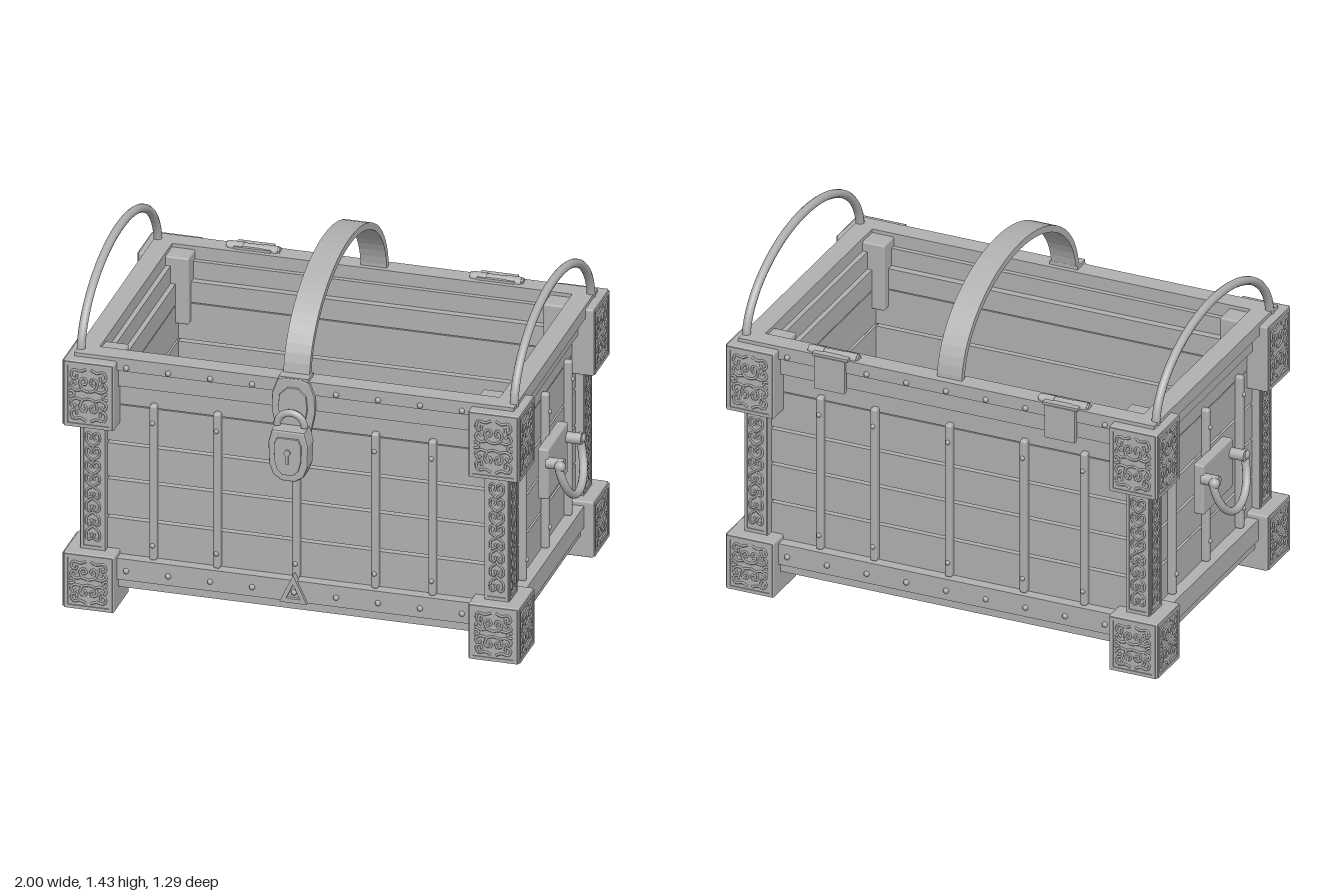
import * as THREE from 'three';
import { mergeGeometries } from 'three/addons/utils/BufferGeometryUtils.js';
import { RoundedBoxGeometry } from 'three/addons/geometries/RoundedBoxGeometry.js';

const grey = new THREE.MeshStandardMaterial({ color: 0xb0b0b0 });
grey.name = 'plain grey';

function add(parent, name, geo, x = 0, y = 0, z = 0) {
  const m = new THREE.Mesh(geo, grey);
  m.name = name;
  m.position.set(x, y, z);
  parent.add(m);
  return m;
}
const box = (w, h, d) => new THREE.BoxGeometry(w, h, d);
const v = (x, y, z = 0) => new THREE.Vector3(x, y, z);
const curve = (pts) => new THREE.CatmullRomCurve3(pts);

// Rectangular ring lying flat between heights y0 and y1
function ring(ox, oz, ix, iz, y0, y1) {
  const rect = (C, a, b) => {
    const s = new C();
    s.moveTo(-a, -b); s.lineTo(a, -b); s.lineTo(a, b); s.lineTo(-a, b); s.closePath();
    return s;
  };
  const s = rect(THREE.Shape, ox, oz);
  s.holes.push(rect(THREE.Path, ix, iz));
  return new THREE.ExtrudeGeometry(s, { depth: y1 - y0, bevelEnabled: false }).rotateX(-Math.PI / 2).translate(0, y0, 0);
}

// Raised border of four bars, facing +z
function border(w, h, t, d) {
  const parts = [];
  for (const s of [-1, 1]) {
    parts.push(box(w, t, d).translate(0, s * (h - t) / 2, 0));
    parts.push(box(t, h - 2 * t, d).translate(s * (w - t) / 2, 0, 0));
  }
  return mergeGeometries(parts);
}

// Scrollwork: strokes in one quadrant of a unit panel, mirrored to all four
const BLOCK_SCROLLS = [
  [[0, .12], [.3, .2], [.42, .5], [.2, .62], [.1, .42], [.25, .38]],
  [[.12, .95], [.4, .85], [.75, .9], [.85, .65], [.62, .55], [.58, .74]],
  [[.3, .2], [.65, .15], [.88, .3], [.75, .48], [.6, .35]],
  [[.95, .1], [.8, .1], [.7, 0]],
];
const POST_SCROLLS = [
  [[0, 0], [.8, .08], [.7, .2], [.1, .16], [.3, .1]],
  [[0, .2], [.8, .3], [.7, .42], [.1, .38], [.3, .32]],
  [[0, .44], [.8, .54], [.7, .66], [.1, .62], [.3, .56]],
  [[0, .68], [.8, .78], [.7, .92], [.1, .88], [.3, .8]],
];
function scrollwork(w, h, strokes, r) {
  const parts = [];
  for (const sx of [-1, 1]) for (const sy of [-1, 1]) for (const st of strokes) {
    const path = curve(st.map(([x, y]) => v(sx * x * w, sy * y * h)));
    parts.push(new THREE.TubeGeometry(path, 14, r, 4));
  }
  return mergeGeometries(parts);
}

// Rivets along a wall: pts are [across, y]
function rivets(parent, pts, dist, turn, r = 0.012) {
  const geo = mergeGeometries(pts.map(([x, y]) =>
    new THREE.SphereGeometry(r, 8, 6).translate(x, y, dist)));
  add(parent, 'rivets', geo).rotation.y = turn;
}

function archTube(rz, ry, y0, r) {
  const pts = [];
  for (let i = 0; i <= 24; i++) {
    const t = Math.PI * i / 24;
    pts.push(v(0, y0 + ry * Math.sin(t), rz * Math.cos(t)));
  }
  return new THREE.TubeGeometry(curve(pts), 48, r, 10);
}

function buildLock(chest) {
  const lock = new THREE.Group();
  lock.name = 'lock';
  lock.position.z = 0.565;
  chest.add(lock);
  const plate = (pts, depth, bevel) => new THREE.ExtrudeGeometry(
    new THREE.Shape(pts.map(([x, y]) => new THREE.Vector2(x, y))),
    { depth, bevelEnabled: bevel > 0, bevelSize: bevel, bevelThickness: bevel, bevelSegments: 2 });
  const sym = (half) => [...half, ...half.map(([x, y]) => [-x, y]).reverse()];
  const hasp = sym([[.065, .87], [.082, .95], [.08, 1.02], [.06, 1.075], [.03, 1.085]]);
  add(lock, 'haspPlate', plate(hasp, 0.012, 0.006), 0, 0, 0);
  add(lock, 'haspTop', box(.12, .018, .07), 0, 1.086, -0.02);
  add(lock, 'haspPanel', plate(sym([[.045, .9], [.055, .97], [.05, 1.02], [.02, 1.05]]), 0.01, 0.004), 0, 0, 0.014);
  const body = sym([[.025, .69], [.055, .71], [.07, .75], [.073, .84], [.06, .89]]);
  add(lock, 'padlockBody', plate(body, 0.065, 0.008), 0, 0, 0.015);
  const face = sym([[.02, .715], [.04, .735], [.05, .77], [.052, .84], [.04, .865]]);
  add(lock, 'padlockFace', plate(face, 0.008, 0.003), 0, 0, 0.086);
  add(lock, 'shackle', new THREE.TorusGeometry(.055, .015, 8, 20, Math.PI), 0, .905, .05);
  const disc = new THREE.CylinderGeometry(.013, .013, .012, 12).rotateX(Math.PI / 2);
  add(lock, 'keyholeTop', disc, 0, .81, .098);
  add(lock, 'keyholeSlot', box(.011, .045, .01), 0, .785, .098);
}

export function createModel() {
  const model = new THREE.Group();
  model.name = 'chest';
  const chest = new THREE.Group();
  chest.name = 'chestBody';
  chest.position.z = -0.025;
  model.add(chest);

  // Floor, rims and plank courses with open gaps between them
  add(chest, 'floor', box(1.74, .04, 1.1), 0, .11, 0);
  add(chest, 'lowerRim', ring(.885, .57, .77, .44, .13, .22));
  add(chest, 'upperRim', ring(.89, .57, .81, .49, 1.025, 1.08));
  add(chest, 'upperRail', ring(.86, .55, .79, .47, .95, 1.025));
  for (const [a, b] of [[.22, .37], [.382, .534], [.546, .689], [.701, .858], [.862, .95]])
    add(chest, 'plankCourse', ring(.835, .525, .77, .44, a, b));

  // Corner blocks and posts with framed scrollwork on the outer faces
  const scrollTall = scrollwork(.082, .117, BLOCK_SCROLLS, .0055);
  const scrollLow = scrollwork(.082, .094, BLOCK_SCROLLS, .0055);
  const scrollPost = scrollwork(.032, .25, POST_SCROLLS, .005);
  for (const sx of [-1, 1]) for (const sz of [-1, 1]) {
    const corner = new THREE.Group();
    corner.name = 'corner';
    chest.add(corner);
    const faces = (cx, cy, cz, hx, hz, w, h, t, scroll) => {
      const fz = sz > 0 ? 0 : Math.PI;
      const f = sz * (cz + hz), s = sx * (cx + hx);
      const frame = border(w, h, t, .008);
      for (const [name, geo] of [['frame', frame], ['scrollwork', scroll]]) {
        add(corner, name, geo, sx * cx, cy, f).rotation.y = fz;
        add(corner, name, geo, s, cy, sz * cz).rotation.y = sx * Math.PI / 2;
      }
    };
    for (const [name, y0, y1, scroll] of [['upperCorner', .78, 1.065, scrollTall], ['lowerCorner', 0, .24, scrollLow]]) {
      const h = y1 - y0, cy = (y0 + y1) / 2;
      add(corner, name, new RoundedBoxGeometry(.205, h, .21, 2, .008), sx * .82, cy, sz * .508);
      faces(.82, cy, .508, .1025, .105, .195, h - .01, .014, scroll);
    }
    add(corner, 'cornerPost', box(.1, .56, .11), sx * .818, .51, sz * .505);
    faces(.818, .51, .505, .05, .055, .095, .53, .011, scrollPost);
  }

  // Vertical straps with rivets
  for (const sz of [1, -1]) {
    const turn = sz > 0 ? 0 : Math.PI;
    const xs = [-.578, -.32, 0, .32, .552];
    for (const x of xs)
      add(chest, 'strap', new RoundedBoxGeometry(.03, .665, .035, 2, .01), x, .5525, sz * .537);
    rivets(chest, xs.flatMap((x) => [[sz * x, .81], [sz * x, .285]]), .555, turn, .01);
    const rimX = [-.68, -.51, -.34, -.17, 0, .17, .34, .51, .68];
    rivets(chest, rimX.flatMap((x) => [[x, 1.04], [x, .17]]), .57, turn);
  }
  for (const sx of [1, -1]) {
    const zs = [-.31, 0, .31];
    for (const z of zs)
      add(chest, 'sideStrap', new RoundedBoxGeometry(.035, .665, .03, 2, .01), sx * .847, .5525, z);
    rivets(chest, zs.flatMap((z) => [[z, .805], [z, .31]]), .865, sx * Math.PI / 2, .01);

    // Side carrying handle
    add(chest, 'handlePlate', new RoundedBoxGeometry(.045, .215, .27, 2, .008), sx * .878, .598, 0);
    const pts = [];
    for (let i = 0; i <= 16; i++) {
      const t = Math.PI * i / 16;
      pts.push(v(sx * (.945 + .038 * Math.sin(t)), .635 - .158 * Math.sin(t), .143 * Math.cos(t)));
    }
    add(chest, 'handleBar', new THREE.TubeGeometry(curve(pts), 32, .0165, 10));
    for (const sz of [1, -1]) {
      const mount = new THREE.CylinderGeometry(.023, .023, .07, 14).rotateZ(Math.PI / 2);
      add(chest, 'handleMount', mount, sx * .925, .645, sz * .122);
      add(chest, 'handleKnob', new THREE.SphereGeometry(.023, 12, 8), sx * .948, .642, sz * .138);
    }

    // Tall arched side hoop
    add(chest, 'sideHoop', archTube(.525, .315, 1.05, .0175), sx * .877);

    // Hinge on the back edge
    const hx = sx * .493;
    add(chest, 'hingeLeaf', box(.13, .14, .02), hx, 1.01, -.575);
    add(chest, 'hingeTop', box(.15, .012, .07), hx, 1.084, -.545);
    add(chest, 'hingePin', new THREE.CylinderGeometry(.016, .016, .215, 10).rotateZ(Math.PI / 2), hx, 1.083, -.537);
    for (const k of [-1, 1])
      add(chest, 'hingeKnuckle', new THREE.CylinderGeometry(.022, .022, .06, 10).rotateZ(Math.PI / 2), hx + k * .07, 1.079, -.537);
  }

  // Wide flat band arching over the middle
  const band = new THREE.Shape();
  band.absellipse(0, 1.06, .54, .375, 0, Math.PI, false, 0);
  band.absellipse(0, 1.06, .513, .347, Math.PI, 0, true, 0);
  band.closePath();
  const bandGeo = new THREE.ExtrudeGeometry(band, { depth: .106, bevelEnabled: false, curveSegments: 16 });
  add(chest, 'centreBand', bandGeo.translate(0, 0, -.053).rotateY(-Math.PI / 2));

  // Triangular plate on the lower rim
  const tri = new THREE.Shape([[-.055, .13], [.055, .13], [0, .25]].map(([x, y]) => new THREE.Vector2(x, y)));
  tri.holes.push(new THREE.Path([[-.028, .148], [0, .21], [.028, .148]].map(([x, y]) => new THREE.Vector2(x, y))));
  add(chest, 'trianglePlate', new THREE.ExtrudeGeometry(tri, { depth: .03, bevelEnabled: false }), 0, 0, .555);

  buildLock(chest);
  return model;
}
